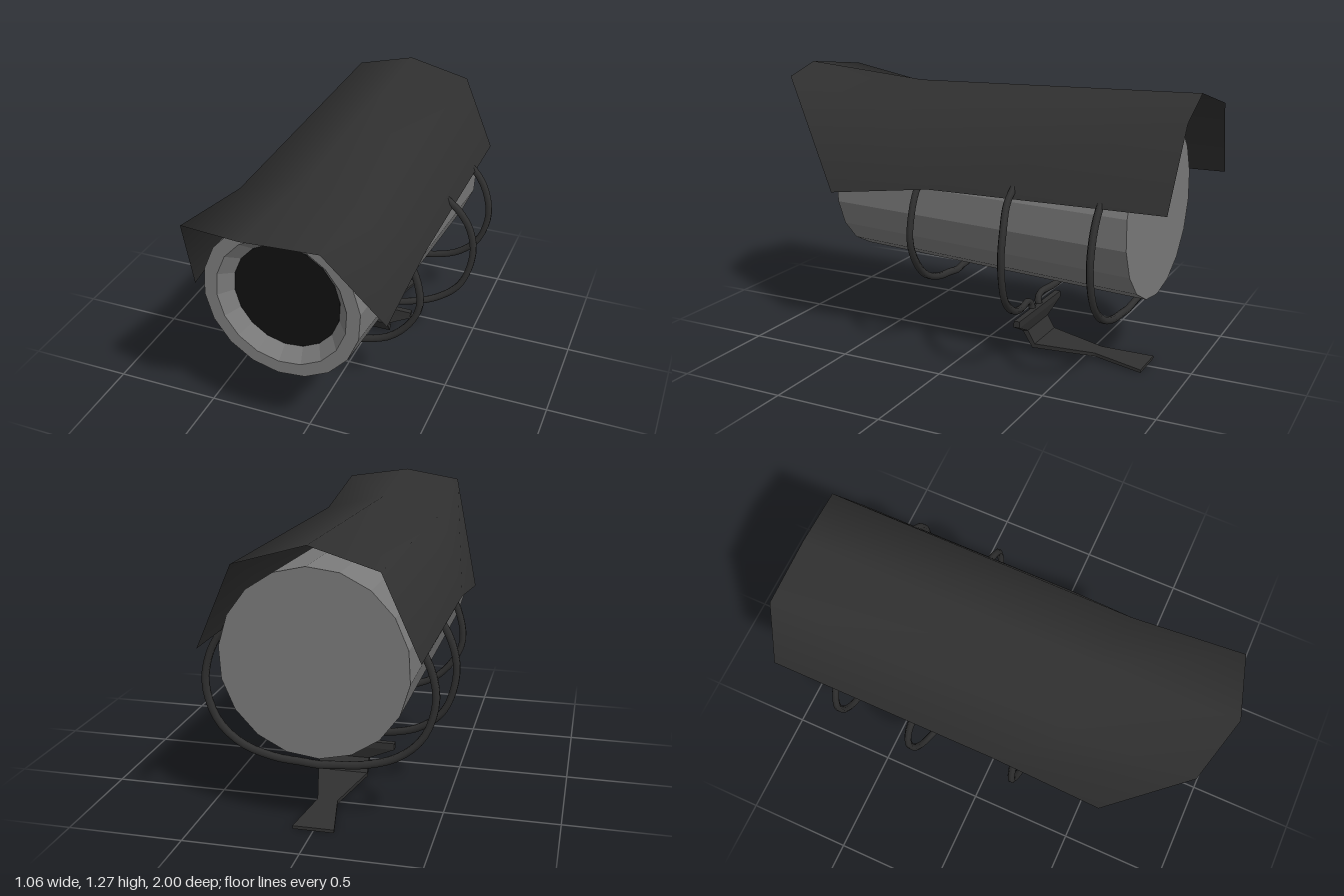
import * as THREE from 'three';

const mat = (color, extra = {}) => new THREE.MeshStandardMaterial({ color, ...extra });

// Skin a list of equal-length rows of [x, y, z] points
function loft(rows) {
  const n = rows[0].length, index = [];
  for (let r = 0; r < rows.length - 1; r++) {
    for (let i = 0; i < n - 1; i++) {
      const a = r * n + i, b = a + n;
      index.push(a, a + 1, b, a + 1, b + 1, b);
    }
  }
  const g = new THREE.BufferGeometry();
  g.setAttribute('position', new THREE.Float32BufferAttribute(rows.flat(2), 3));
  g.setIndex(index);
  g.computeVertexNormals();
  return g;
}

export function createModel() {
  const model = new THREE.Group();
  const add = (name, geometry, material, parent = model) => {
    const mesh = new THREE.Mesh(geometry, material);
    mesh.name = name;
    parent.add(mesh);
    return mesh;
  };
  const grey = mat(0x7a7a7a, { flatShading: true });
  const black = mat(0x303030, { side: THREE.DoubleSide });
  const blackFlat = mat(0x303030, { side: THREE.DoubleSide, flatShading: true });

  // Tapered barrel, closed at the back, with a bevelled recess at the front
  const back = new THREE.Vector3(-0.013, 0.733, -0.82);
  const axis = new THREE.Vector3(-0.06, 0.752, 0.635).sub(back);
  const len = axis.length();
  const barrel = new THREE.Group();
  barrel.name = 'barrel';
  barrel.position.copy(back);
  barrel.quaternion.setFromUnitVectors(new THREE.Vector3(0, 1, 0), axis.normalize());
  model.add(barrel);
  const profile = [[0, 0], [0.398, 0], [0.366, len], [0.305, len], [0.25, len - 0.06]]
    .map(([r, y]) => new THREE.Vector2(r, y));
  const phase = Math.PI / 12;
  add('housing', new THREE.LatheGeometry(profile, 18, phase), grey, barrel);
  const lens = add('lens', new THREE.CircleGeometry(0.252, 18, phase).rotateX(-Math.PI / 2),
    mat(0x101010), barrel);
  lens.position.y = len - 0.06;

  // Five-point folded hood: front edge, crease, back edge
  const hoodX = [-0.475, -0.325, -0.04, 0.25, 0.405];
  const hoodRow = (low, shoulder, top) =>
    [low, shoulder, top, shoulder, low].map(([y, z], i) => [hoodX[i], y, z]);
  add('hood', loft([
    hoodRow([0.74, 0.61], [1.235, 0.925], [1.27, 1.0]),
    hoodRow([0.81, 0.1], [1.143, 0.43], [1.217, 0.38]),
    hoodRow([0.82, -0.98], [1.165, -1.0], [1.245, -0.975]),
  ]), black);

  // Wire hoops hanging below the barrel
  const halfHoop = (side, cx, w, bottom, z, lean) => [
    [0.68, 0.87], [0.85, 0.8], [0.96, 0.7], [1, 0.57],
    [0.9, bottom + 0.155], [0.69, bottom + 0.06], [0.4, bottom + 0.012], [0.14, bottom],
  ].map(([x, y]) => new THREE.Vector3(cx + side * x * w, y, z + lean * (0.57 - y)));
  const tube = (name, pts) => add(name,
    new THREE.TubeGeometry(new THREE.CatmullRomCurve3(pts), 48, 0.017, 6), black);

  for (const [name, cx, w, bottom, z, lean] of [
    ['frontHoop', -0.03, 0.442, 0.31, 0.19, 0.02],
    ['rearHoop', 0, 0.488, 0.262, -0.695, 0.0],
  ]) {
    tube(name, [
      ...halfHoop(-1, cx, w, bottom, z, lean),
      new THREE.Vector3(cx, bottom - 0.006, z),
      ...halfHoop(1, cx, w, bottom, z, lean).reverse(),
    ]);
  }

  // Middle hoop: two halves that turn down into the bracket
  for (const side of [-1, 1]) {
    const pts = halfHoop(side, 0, 0.515, 0.24, -0.31, 0);
    pts.slice(4).forEach((p, i) => { p.z += [0.01, 0.025, 0.05, 0.075][i]; });
    pts[0].z = pts[1].z = -0.3;
    pts.push(new THREE.Vector3(side * 0.04, 0.22, -0.235), new THREE.Vector3(side * 0.035, 0.17, -0.25));
    tube(side > 0 ? 'leftMiddleHoop' : 'rightMiddleHoop', pts);
  }

  // Bent bracket: half width, then y and z of its outer and inner face
  const sections = [
    [0.235, 0.2, -0.24, 0.2, -0.268],
    [0.235, 0.17, -0.238, 0.17, -0.268],
    [0.115, 0.11, -0.23, 0.115, -0.255],
    [0.115, 0.035, -0.278, 0.055, -0.29],
    [0.045, 0.018, -0.56, 0.034, -0.56],
    [0.09, 0, -0.795, 0.014, -0.795],
  ];
  const rows = sections.map(([h, y0, z0, y1, z1]) =>
    [[h, y0, z0], [-h, y0, z0], [-h, y1, z1], [h, y1, z1], [h, y0, z0]]);
  const cap = ([, y0, z0, y1, z1]) => Array(5).fill([0, (y0 + y1) / 2, (z0 + z1) / 2]);
  add('bracket', loft([cap(sections[0]), ...rows, cap(sections.at(-1))]), blackFlat);

  return model;
}
